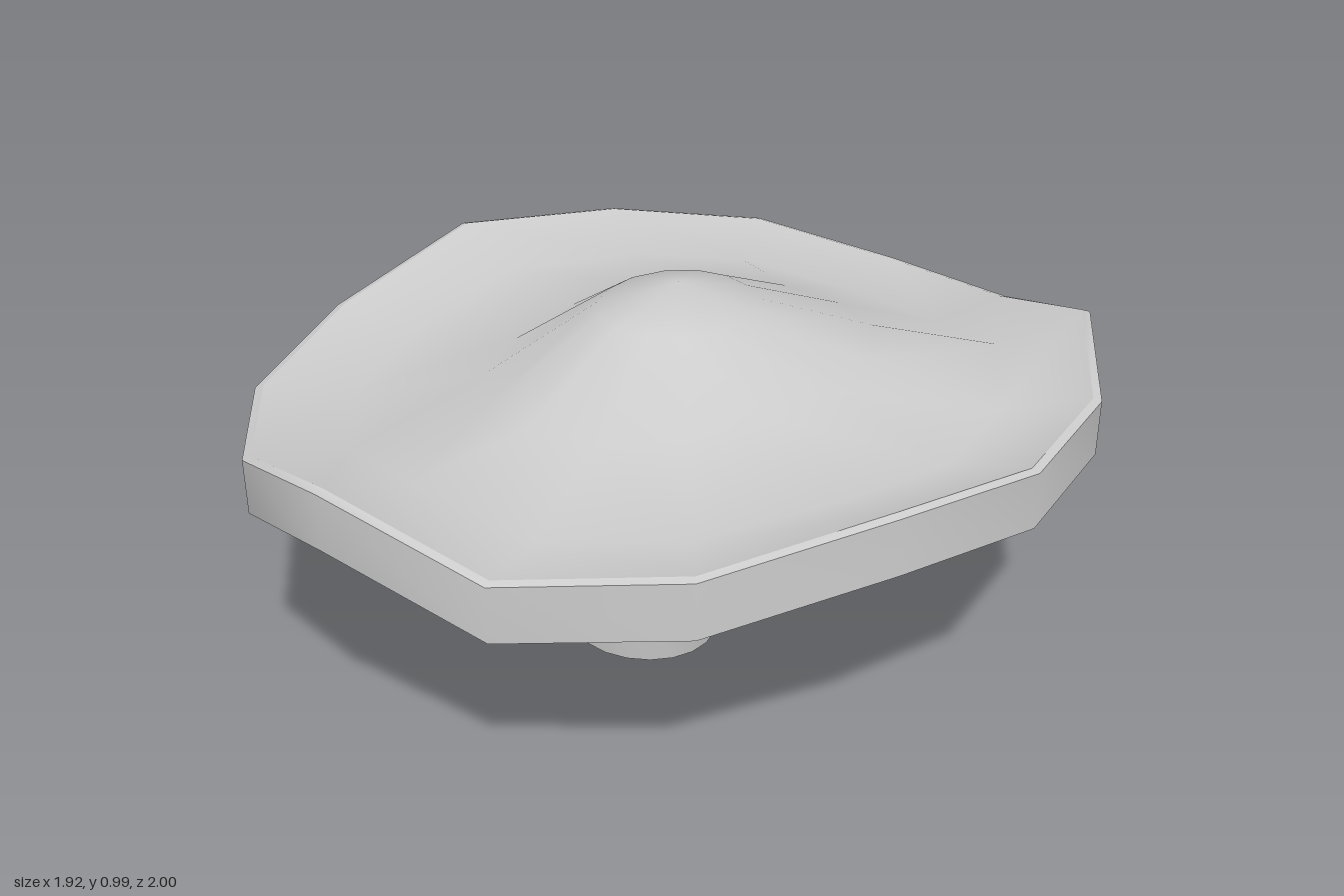
import * as THREE from 'three';
import { mergeVertices } from 'three/addons/utils/BufferGeometryUtils.js';

// Skin a list of closed rings (bottom to top, or outside to centre) with smooth normals.
function loft(rings) {
  const n = rings[0].length, index = [];
  for (let r = 0; r < rings.length - 1; r++) {
    for (let i = 0; i < n; i++) {
      const a = r * n + i, b = r * n + (i + 1) % n;
      index.push(a, b, a + n, b, b + n, a + n);
    }
  }
  const geometry = new THREE.BufferGeometry();
  geometry.setAttribute('position', new THREE.Float32BufferAttribute(rings.flat(2), 3));
  geometry.setIndex(index);
  const welded = mergeVertices(geometry, 1e-4);
  welded.computeVertexNormals();
  return welded;
}

// Horizontal ring; rx and rz are its radii.
function ring(x, y, z, rx, rz = rx, n = 20, lift = () => 0) {
  return Array.from({ length: n }, (_, i) => {
    const a = -i / n * Math.PI * 2;
    return [x + rx * Math.cos(a), y + lift(a), z + rz * Math.sin(a)];
  });
}

// Wavy cap edge: x, z and height of the upper lip, counter-clockwise seen from above.
const RIM = [
  [0.07, -1.0, 0.69], [-0.325, -0.94, 0.74], [-0.66, -0.7, 0.78],
  [-0.894, -0.32, 0.82], [-0.96, 0.125, 0.74], [-0.868, 0.54, 0.71],
  [-0.615, 0.85, 0.74], [-0.256, 1.0, 0.845], [0.145, 0.96, 0.735],
  [0.525, 0.765, 0.77], [0.82, 0.45, 0.855], [0.96, 0.08, 0.82],
  [0.945, -0.31, 0.81], [0.775, -0.645, 0.855], [0.455, -0.89, 0.715],
];

// Scaled copy of the rim; height comes from the lip height and direction.
const rimRing = (scale, height) =>
  RIM.map(([x, z, t]) => [x * scale, height(t, x, z), z * scale]);

export function createModel() {
  const model = new THREE.Group();
  const material = new THREE.MeshStandardMaterial({ color: 0xcccccc, side: THREE.DoubleSide });
  const add = (parent, name, geometry) => {
    const mesh = new THREE.Mesh(geometry, material);
    mesh.name = name;
    parent.add(mesh);
  };

  // Cap: upper dome, narrow lip, edge band and hollow underside
  const cap = new THREE.Group();
  cap.name = 'cap';
  model.add(cap);
  const lip = rimRing(0.98, t => t);
  const edgeTop = rimRing(1, t => t - 0.006);
  const edgeBottom = rimRing(1, t => t - 0.145);
  add(cap, 'capTop', loft([
    lip,
    rimRing(0.77, t => 0.725 + 0.6 * (t - 0.77)),
    rimRing(0.46, (t, x, z) => 0.795 + 0.045 * x - 0.015 * z + 0.1 * (t - 0.77)),
    rimRing(0.19, () => 0.935),
    rimRing(0, () => 0.99),
  ]));
  add(cap, 'capLip', loft([edgeTop, lip]));
  add(cap, 'capEdge', loft([edgeBottom, edgeTop]));
  add(cap, 'capUnderside', loft([
    rimRing(0, () => 0.74),
    rimRing(0.14, () => 0.71),
    rimRing(0.42, (t, x) => 0.6 + 0.3 * (t - 0.77) + 0.02 * x),
    rimRing(0.77, (t, x) => 0.485 + 0.55 * (t - 0.77) + 0.03 * x),
    edgeBottom,
  ]));

  // Leaning stem, flared at the foot: centre x, y, z, then radii
  const stemRings = [
    [-0.102, 0, 0.012, 0.195, 0.175], [-0.07, 0.135, 0.025, 0.175, 0.17],
    [-0.03, 0.21, 0.03, 0.155, 0.16], [0, 0.29, 0.02, 0.135, 0.138],
    [0.01, 0.45, 0.01, 0.12, 0.112], [0.02, 0.56, 0.01, 0.108, 0.107],
    [0.03, 0.74, 0.01, 0.112, 0.112],
  ].map(r => ring(...r));
  add(model, 'stem', loft(stemRings));
  add(model, 'stemFoot', loft([ring(-0.102, 0, 0.012, 0), stemRings[0]]));

  // Skirt: tilted collar flaring down to a thin wavy hem
  const hem = a => 0.035 * Math.cos(a) + 0.008 * Math.cos(a * 8);
  const skirt = (x, y, r, lift) => ring(x, y, 0.008, r, r * 0.95, 32, lift);
  add(model, 'skirt', loft([
    skirt(0, 0.35, 0.125, a => 0.02 * Math.cos(a)),
    skirt(0, 0.305, 0.168, hem),
    skirt(0, 0.302, 0.186, hem),
    skirt(0, 0.325, 0.194, hem),
    skirt(0.005, 0.385, 0.165, a => 0.015 * Math.cos(a)),
    skirt(0.01, 0.44, 0.136),
    skirt(0.01, 0.475, 0.114),
  ]));
  return model;
}
